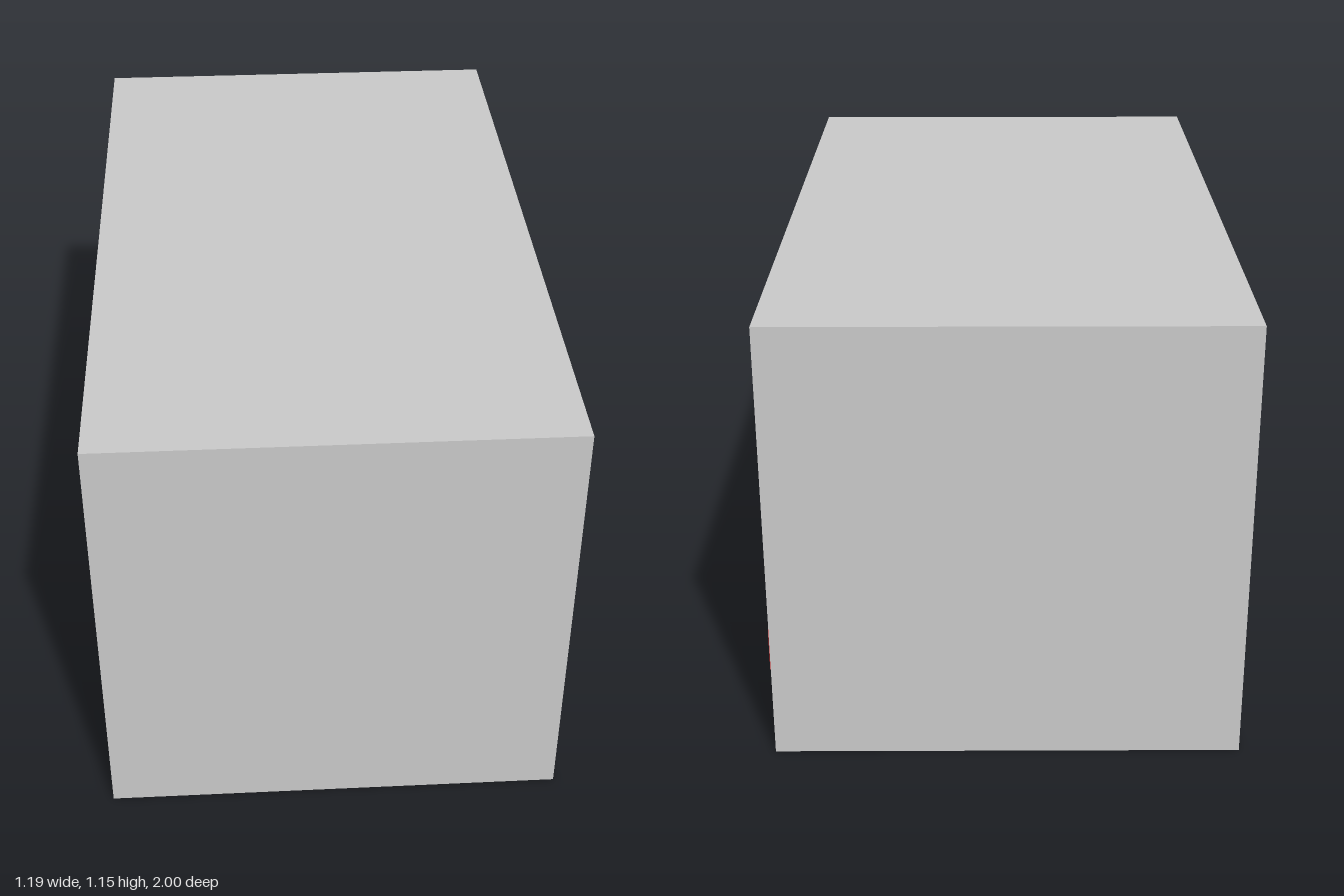
import * as THREE from 'three';

const grey = new THREE.MeshStandardMaterial({ color: 0xcccccc });
const paint = (color) => new THREE.MeshStandardMaterial({ color });

// Box given by its min and max on each axis
function box(name, [x0, x1], [y0, y1], [z0, z1], material = grey) {
  const mesh = new THREE.Mesh(new THREE.BoxGeometry(x1 - x0, y1 - y0, z1 - z0), material);
  mesh.position.set((x0 + x1) / 2, (y0 + y1) / 2, (z0 + z1) / 2);
  mesh.name = name;
  return mesh;
}

const FACE = 0.578;   // plane of the body's vented side
const PANEL = 0.586;  // outer plane of the slats
const GAP = 0.01;     // slot height

// Stack of slats separated by evenly spaced dark slots
function grille(name, z, slotZ, bottom, top, firstSlot, lastSlot, count) {
  const group = new THREE.Group();
  group.name = name;
  const dark = paint(0x050505);
  let y = bottom;
  for (let i = 0; i < count; i++) {
    const slot = firstSlot + (lastSlot - firstSlot) * i / (count - 1);
    group.add(box('slat', [FACE, PANEL], [y, slot - GAP / 2], z));
    group.add(box('slot', [FACE - 0.002, FACE + 0.001], [slot - GAP / 2, slot + GAP / 2], slotZ, dark));
    y = slot + GAP / 2;
  }
  group.add(box('slat', [FACE, PANEL], [y, top], z));
  return group;
}

export function createModel() {
  const model = new THREE.Group();
  model.name = 'ventedUnit';

  // Main housing
  model.add(box('housing', [-0.597, FACE], [0, 1.15], [-1, 1]));

  // Wide grille, and narrow grille whose bottom slat is the control plate
  model.add(grille('wideGrille', [-0.37, 0.93], [-0.355, 0.915], 0.105, 1.05, 0.155, 1.007, 18));
  model.add(grille('narrowGrille', [-0.93, -0.47], [-0.905, -0.475], 0.085, 1.05, 0.37, 1.007, 14));

  // Push buttons
  const buttons = { greenButton: 0x7ccc14, yellowButton: 0xcccc14, redButton: 0xcc2828 };
  Object.entries(buttons).forEach(([name, color], i) => {
    const z = -0.555 - 0.14 * i;
    model.add(box(name, [PANEL, 0.597], [0.17, 0.285], [z - 0.052, z + 0.052], paint(color)));
  });

  return model;
}
